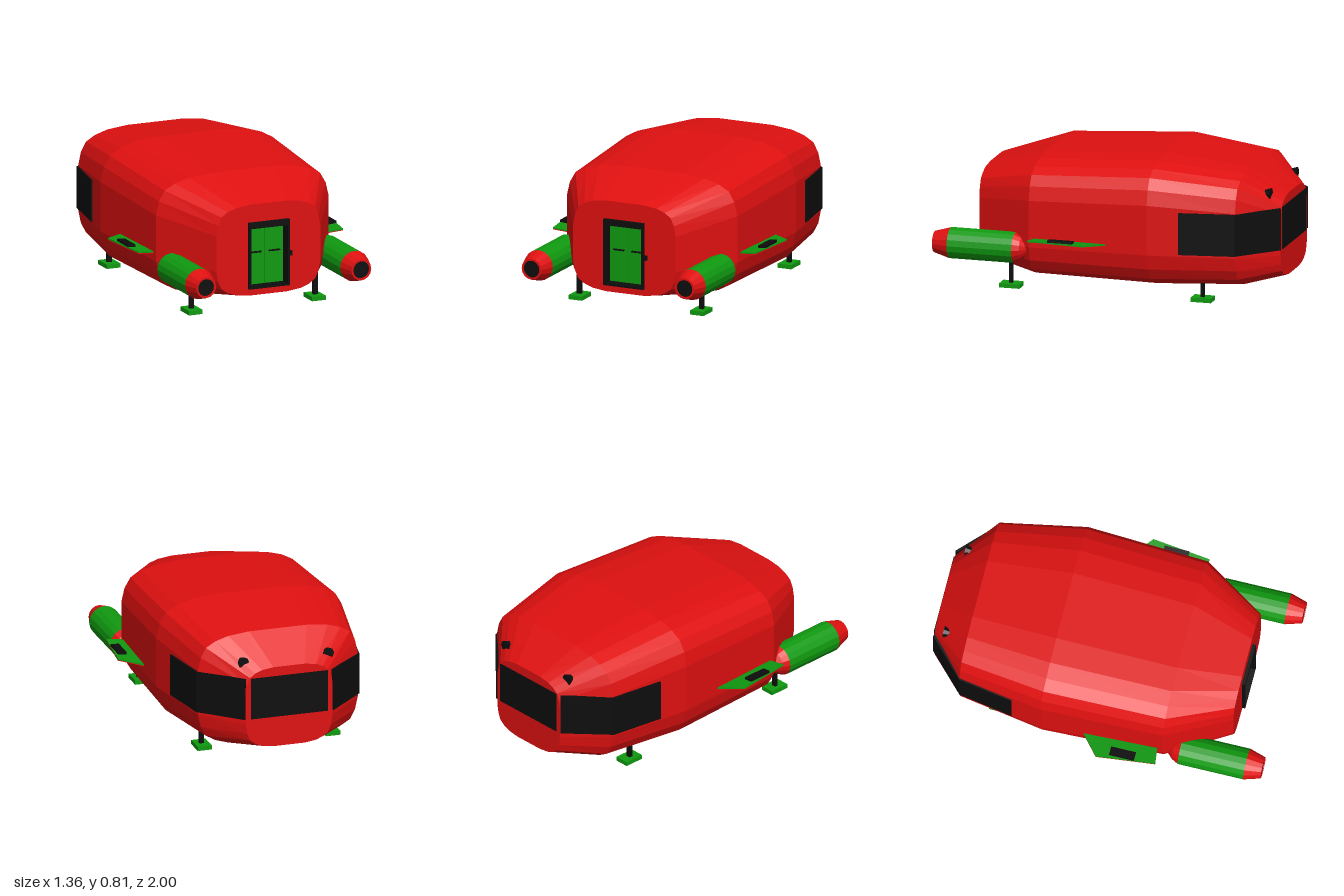
import * as THREE from 'three';

const paint = (color) => new THREE.MeshStandardMaterial({ color, flatShading: true, side: THREE.DoubleSide });

export function createModel() {
  const model = new THREE.Group();
  const red = paint(0xe01010), green = paint(0x109a10), black = paint(0x0d0d0d);

  function add(name, geometry, material, x = 0, y = 0, z = 0, parent = model) {
    const mesh = new THREE.Mesh(geometry, material);
    mesh.name = name;
    mesh.position.set(x, y, z);
    parent.add(mesh);
    return mesh;
  }
  const box = (name, w, h, d, material, x, y, z, parent) =>
    add(name, new THREE.BoxGeometry(w, h, d), material, x, y, z, parent);

  // Hull: one rounded outline, mirrored into four quadrants, scaled at each station
  const quarter = [[1, 0.39], [0.965, 0.62], [0.9, 0.79], [0.78, 0.89], [0.62, 0.96], [0.36, 1]];
  const flipped = [...quarter].reverse();
  const outline = [
    ...quarter,
    ...flipped.map(([u, v]) => [-u, v]),
    ...quarter.map(([u, v]) => [-u, -v]),
    ...flipped.map(([u, v]) => [u, -v]),
  ];
  // z, half width, bottom, top
  const stations = [
    [0.78, 0.325, 0.12, 0.655],
    [0.42, 0.54, 0.065, 0.765],
    [-0.29, 0.565, 0.06, 0.81],
    [-0.79, 0.48, 0.08, 0.755],
    [-0.995, 0.26, 0.12, 0.6],
  ];
  const ring = ([, w, lo, hi]) => outline.map(([u, v]) => [u * w, (lo + hi) / 2 + v * (hi - lo) / 2]);
  const positions = [], index = [], n = outline.length;
  stations.forEach((s, i) => {
    for (const [x, y] of ring(s)) positions.push(x, y, s[0]);
    if (i === stations.length - 1) return;
    for (let j = 0; j < n; j++) {
      const a = i * n + j, b = i * n + (j + 1) % n;
      index.push(a, a + n, b, b, a + n, b + n);
    }
  });
  const hull = new THREE.BufferGeometry();
  hull.setAttribute('position', new THREE.Float32BufferAttribute(positions, 3));
  hull.setIndex(index);
  hull.computeVertexNormals();
  add('hull', hull, red);

  // End walls, the front one with a doorway
  const shapeOf = (points) => new THREE.Shape(points.map(([x, y]) => new THREE.Vector2(x, y)));
  const rect = (w, lo, hi) => [[-w, lo], [w, lo], [w, hi], [-w, hi]];
  const frontShape = shapeOf(ring(stations[0]));
  frontShape.holes.push(shapeOf(rect(0.12, 0.165, 0.545)));
  add('frontWall', new THREE.ShapeGeometry(frontShape), red, 0, 0, 0.78);
  const back = new THREE.ShapeGeometry(shapeOf(ring(stations[4])));
  add('backWall', back.rotateY(Math.PI), red, 0, 0, -0.995);

  // Recessed double door
  const door = new THREE.Group();
  door.name = 'door';
  model.add(door);
  const frame = shapeOf(rect(0.126, 0.16, 0.55));
  frame.holes.push(shapeOf(rect(0.115, 0.17, 0.515)));
  add('doorFrame', new THREE.ExtrudeGeometry(frame, { depth: 0.1, bevelEnabled: false }), black, 0, 0, 0.7, door);
  box('doorBacking', 0.24, 0.37, 0.01, black, 0, 0.345, 0.705, door);
  for (const s of [-1, 1]) {
    box('doorLeaf', 0.113, 0.345, 0.02, green, s * 0.0585, 0.3425, 0.72, door);
    box('doorHandle', 0.068, 0.007, 0.015, black, s * 0.058, 0.36, 0.735, door);
  }
  box('doorLatch', 0.02, 0.028, 0.02, black, 0.135, 0.347, 0.787, door);

  // Wraparound window band
  box('rearWindow', 0.46, 0.245, 0.02, black, 0, 0.4225, -0.991);
  function windowPanel(s, [x1, z1], [x2, z2]) {
    const dx = s * (x2 - x1), dz = z2 - z1;
    const panel = box('sideWindow', 0.014, 0.245, Math.hypot(dx, dz), black,
      s * (x1 + x2) / 2, 0.4225, (z1 + z2) / 2);
    panel.rotation.y = Math.atan2(dx, dz);
  }

  for (const s of [-1, 1]) {
    windowPanel(s, [0.536, -0.47], [0.482, -0.79]);
    windowPanel(s, [0.482, -0.785], [0.262, -0.994]);

    // Roof lamp
    const lamp = add('roofLamp', new THREE.CylinderGeometry(0.034, 0.02, 0.04, 8), black, s * 0.255, 0.625, -0.918);
    lamp.rotation.x = -Math.PI / 2;

    // Engine pod
    const engine = new THREE.Group();
    engine.name = 'engine';
    engine.position.set(s * 0.485, 0.258, 0);
    model.add(engine);
    const turned = (name, material, profile) => add(name, new THREE.LatheGeometry(
      profile.map(([r, z]) => new THREE.Vector2(r, z)), 16).rotateX(Math.PI / 2), material, 0, 0, 0, engine);
    turned('engineTail', red, [[0, 0.435], [0.035, 0.44], [0.07, 0.475], [0.09, 0.515]]);
    turned('engineBody', green, [[0.09, 0.515], [0.09, 0.9]]);
    turned('engineNozzle', red, [[0.09, 0.9], [0.062, 0.995], [0.05, 0.995], [0.05, 0.975]]);
    turned('engineOpening', black, [[0.05, 0.99], [0, 0.99]]);

    // Stub wing with a dark pad on top and a red underside
    const wing = new THREE.Group();
    wing.name = 'wing';
    wing.position.set(s * 0.55, 0.322, 0);
    wing.rotation.z = s * 0.1;
    model.add(wing);
    const plan = shapeOf([[-0.03, 0.06], [0.01, 0.04], [0.13, -0.06], [0.09, -0.4], [-0.03, -0.385]]
      .map(([x, y]) => [s * x, y]));
    const slab = (depth) => new THREE.ExtrudeGeometry(plan, { depth, bevelEnabled: false }).rotateX(-Math.PI / 2);
    add('wingTop', slab(0.008), green, 0, 0.004, 0, wing);
    add('wingUnderside', slab(0.003), red, 0, 0, 0, wing);
    box('wingPad', 0.05, 0.014, 0.145, black, s * 0.08, 0.018, 0.205, wing);

    // Landing legs
    for (const [z, top] of [[0.57, 0.17], [-0.57, 0.13]]) {
      box('foot', 0.085, 0.025, 0.12, green, s * 0.385, 0.0125, z);
      box('legPost', 0.026, top - 0.02, 0.02, black, s * 0.387, (top + 0.02) / 2, z);
    }
  }
  return model;
}
